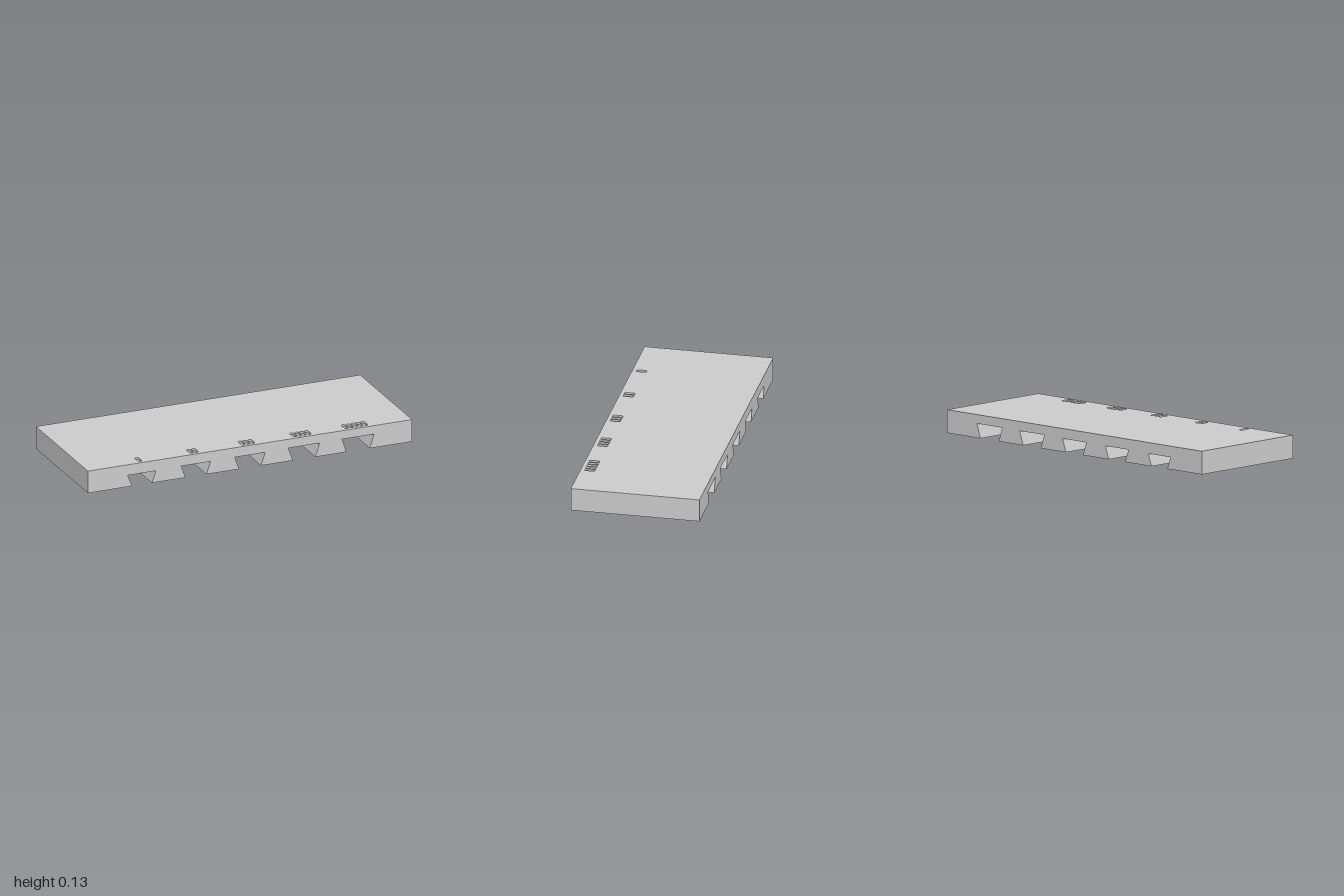
import * as THREE from 'three';

const WIDTH = 2, HEIGHT = 0.134, DEPTH = 0.745;
const PITCH = 1 / 3; // spacing of the dovetail grooves
const SLOT = { width: 0.024, length: 0.062, pitch: 0.03, z: 0.32, depth: 0.012 };

// Dovetail grooves: half width at the mouth, half width at the roof, height
const grooves = [
  [0.062, 0.087, 0.070],
  [0.064, 0.091, 0.074],
  [0.067, 0.094, 0.076],
  [0.069, 0.097, 0.080],
  [0.072, 0.099, 0.082],
];

// Removes the triangles lying in the top plane; optionally turns the rest inside out
function openTop(geometry, invert = false) {
  const p = geometry.getAttribute('position');
  const out = [];
  for (let i = 0; i < p.count; i += 3) {
    const order = invert ? [i, i + 2, i + 1] : [i, i + 1, i + 2];
    if (order.every((k) => Math.abs(p.getY(k) - HEIGHT) < 1e-5)) continue;
    for (const k of order) out.push(p.getX(k), p.getY(k), p.getZ(k));
  }
  const open = new THREE.BufferGeometry();
  open.setAttribute('position', new THREE.Float32BufferAttribute(out, 3));
  open.computeVertexNormals();
  return open;
}

// Narrow slot with round ends, drawn in plan (shape y = -z)
function slotOutline(x, PathType) {
  const r = SLOT.width / 2, half = SLOT.length / 2 - r;
  const path = new PathType();
  path.absarc(x, -SLOT.z + half, r, 0, Math.PI, false);
  path.absarc(x, -SLOT.z - half, r, Math.PI, Math.PI * 2, false);
  path.closePath();
  return path;
}

export function createModel() {
  const model = new THREE.Group();
  const material = new THREE.MeshStandardMaterial({ color: 0xcccccc, flatShading: true });
  const add = (name, geometry, parent = model) => {
    const mesh = new THREE.Mesh(geometry, material);
    mesh.name = name;
    parent.add(mesh);
  };

  // Block with dovetail grooves running front to back along the underside
  const profile = new THREE.Shape();
  profile.moveTo(-WIDTH / 2, 0);
  grooves.forEach(([mouth, roof, h], i) => {
    const x = (i - 2) * PITCH;
    profile.lineTo(x - mouth, 0);
    profile.lineTo(x - roof, h);
    profile.lineTo(x + roof, h);
    profile.lineTo(x + mouth, 0);
  });
  profile.lineTo(WIDTH / 2, 0);
  profile.lineTo(WIDTH / 2, HEIGHT);
  profile.lineTo(-WIDTH / 2, HEIGHT);
  profile.closePath();
  const block = new THREE.ExtrudeGeometry(profile, { depth: DEPTH, bevelEnabled: false });
  block.translate(0, 0, -DEPTH / 2);
  add('groovedBlock', openTop(block));

  // Top face, pierced by one to five counting slots above each groove
  const top = new THREE.Shape();
  top.moveTo(-WIDTH / 2, -DEPTH / 2);
  top.lineTo(WIDTH / 2, -DEPTH / 2);
  top.lineTo(WIDTH / 2, DEPTH / 2);
  top.lineTo(-WIDTH / 2, DEPTH / 2);
  top.closePath();

  grooves.forEach((_, i) => {
    const marks = new THREE.Group();
    marks.name = `countingSlots${i + 1}`;
    model.add(marks);
    for (let j = 0; j <= i; j++) {
      const x = (i - 2) * PITCH + (j - i / 2) * SLOT.pitch;
      top.holes.push(slotOutline(x, THREE.Path));
      // Sunken walls and floor of the slot
      const pocket = new THREE.ExtrudeGeometry(slotOutline(x, THREE.Shape), {
        depth: SLOT.depth, bevelEnabled: false, curveSegments: 8,
      });
      pocket.rotateX(-Math.PI / 2).translate(0, HEIGHT - SLOT.depth, 0);
      add('slotPocket', openTop(pocket, true), marks);
    }
  });

  const topFace = new THREE.ShapeGeometry(top, 8);
  topFace.rotateX(-Math.PI / 2).translate(0, HEIGHT, 0);
  add('topFace', topFace);

  return model;
}
